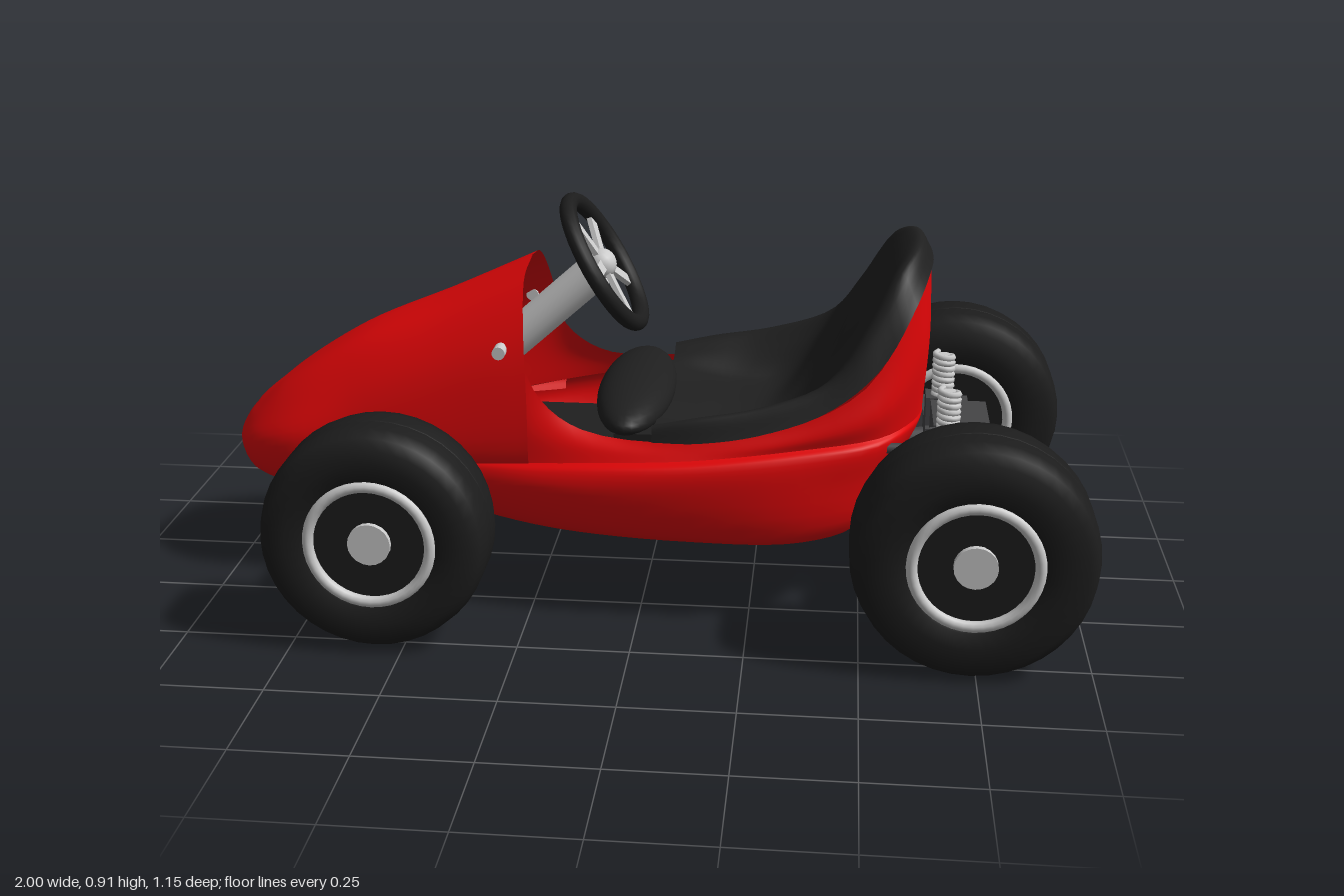
import * as THREE from 'three';
import { mergeVertices } from 'three/addons/utils/BufferGeometryUtils.js';

const V = (p) => new THREE.Vector3(...p);

function material(name, color, side = THREE.FrontSide) {
  const m = new THREE.MeshStandardMaterial({ color, side });
  m.name = name;
  return m;
}

// Surface through several half outlines, each mirrored across z = 0
function loft(lines, nu = 64, nv = 24) {
  const curves = lines.map((half) => {
    const mirror = half.slice(0, -1).reverse().map(([x, y, z]) => [x, y, -z]);
    return new THREE.CatmullRomCurve3([...half, ...mirror].map(V));
  });
  const pos = [], index = [];
  for (let i = 0; i <= nu; i++) {
    const across = new THREE.CatmullRomCurve3(curves.map((c) => c.getPoint(i / nu)));
    for (let j = 0; j <= nv; j++) pos.push(...across.getPoint(j / nv).toArray());
  }
  for (let i = 0; i < nu; i++) for (let j = 0; j < nv; j++) {
    const a = i * (nv + 1) + j, b = a + nv + 1;
    index.push(a, a + 1, b, b, a + 1, b + 1);
  }
  let g = new THREE.BufferGeometry();
  g.setAttribute('position', new THREE.Float32BufferAttribute(pos, 3));
  g.setIndex(index);
  g = mergeVertices(g, 1e-4);
  g.computeVertexNormals();
  return g;
}

export function createModel() {
  const kart = new THREE.Group();
  kart.name = 'pedalKart';
  const red = material('red paint', 0xe00507, THREE.DoubleSide);
  const black = material('black rubber', 0x1c1c1c);
  const seatBlack = material('black seat', 0x1f1f1f, THREE.DoubleSide);
  const grey = material('dark grey metal', 0x454547);
  const midGrey = material('mid grey metal', 0x646467);
  const silver = material('silver metal', 0xcbcbcb);

  function add(name, geo, mat, at = [0, 0, 0], parent = kart) {
    const m = new THREE.Mesh(geo, mat);
    m.name = name;
    m.position.set(...at);
    parent.add(m);
    return m;
  }
  const box = (name, size, at, mat = grey) => add(name, new THREE.BoxGeometry(...size), mat, at);
  function rod(name, a, b, r, mat = grey) {
    const d = V(b).sub(V(a));
    const m = add(name, new THREE.CylinderGeometry(r, r, d.length(), 16), mat);
    m.position.copy(V(a)).addScaledVector(d, 0.5);
    m.quaternion.setFromUnitVectors(new THREE.Vector3(0, 1, 0), d.normalize());
    return m;
  }

  // Nose cowl, from the lower edge up to the ridge
  add('noseCowl', loft([
    [[-0.25, 0.34, 0.285], [-0.43, 0.33, 0.24], [-0.63, 0.3, 0.19], [-0.76, 0.215, 0.13], [-0.8, 0.205, 0.07], [-0.82, 0.205, 0]],
    [[-0.25, 0.37, 0.3], [-0.43, 0.35, 0.255], [-0.65, 0.32, 0.205], [-0.83, 0.26, 0.175], [-0.94, 0.25, 0.11], [-0.97, 0.255, 0]],
    [[-0.255, 0.5, 0.28], [-0.45, 0.45, 0.24], [-0.66, 0.4, 0.21], [-0.85, 0.35, 0.19], [-0.96, 0.32, 0.12], [-1.0, 0.31, 0]],
    [[-0.268, 0.64, 0.225], [-0.46, 0.57, 0.2], [-0.68, 0.49, 0.175], [-0.86, 0.41, 0.15], [-0.945, 0.37, 0.1], [-0.98, 0.36, 0]],
    [[-0.28, 0.74, 0.13], [-0.47, 0.655, 0.12], [-0.69, 0.565, 0.105], [-0.86, 0.462, 0.09], [-0.93, 0.405, 0.06], [-0.96, 0.385, 0]],
    [[-0.28, 0.768, 0], [-0.475, 0.68, 0], [-0.69, 0.583, 0], [-0.86, 0.472, 0], [-0.93, 0.417, 0], [-0.955, 0.392, 0]],
  ]), red);

  // Tub: upper sides and back, then the belly with a small ledge at the crease
  const crease = [[-0.42, 0.33, 0.25], [-0.25, 0.35, 0.315], [-0.1, 0.368, 0.35], [0.12, 0.388, 0.37],
    [0.36, 0.415, 0.35], [0.53, 0.43, 0.295], [0.61, 0.43, 0.16], [0.63, 0.43, 0.08], [0.635, 0.43, 0]];
  const ledge = crease.map(([x, y, z]) => [x, y + 0.012, z * 0.94]);
  add('tubUpper', loft([
    [[-0.28, 0.6, 0.24], [-0.225, 0.5, 0.262], [-0.13, 0.442, 0.285], [0.1, 0.435, 0.328],
      [0.33, 0.475, 0.325], [0.5, 0.565, 0.295], [0.6, 0.73, 0.22], [0.632, 0.787, 0.11], [0.64, 0.79, 0]],
    [[-0.33, 0.47, 0.25], [-0.24, 0.43, 0.285], [-0.1, 0.41, 0.315], [0.12, 0.415, 0.34],
      [0.36, 0.447, 0.333], [0.53, 0.5, 0.293], [0.62, 0.6, 0.18], [0.64, 0.615, 0.09], [0.645, 0.62, 0]],
    ledge,
  ]), red);
  add('tubBelly', loft([
    ledge,
    crease,
    [[-0.43, 0.28, 0.25], [-0.25, 0.31, 0.325], [-0.1, 0.32, 0.36], [0.12, 0.335, 0.376],
      [0.36, 0.35, 0.355], [0.51, 0.35, 0.29], [0.58, 0.35, 0.15], [0.592, 0.35, 0.07], [0.595, 0.35, 0]],
    [[-0.42, 0.21, 0.2], [-0.25, 0.21, 0.28], [-0.1, 0.21, 0.32], [0.12, 0.21, 0.34],
      [0.34, 0.21, 0.33], [0.47, 0.22, 0.27], [0.53, 0.22, 0.14], [0.537, 0.22, 0.07], [0.54, 0.22, 0]],
    [[-0.4, 0.182, 0.1], [-0.25, 0.18, 0.18], [-0.1, 0.178, 0.22], [0.12, 0.176, 0.25],
      [0.32, 0.176, 0.23], [0.43, 0.178, 0.18], [0.48, 0.18, 0.09], [0.488, 0.18, 0.045], [0.49, 0.18, 0]],
    [[-0.4, 0.18, 0], [-0.25, 0.176, 0], [-0.1, 0.175, 0], [0.12, 0.175, 0],
      [0.28, 0.175, 0], [0.36, 0.175, 0], [0.4, 0.176, 0], [0.41, 0.176, 0], [0.42, 0.176, 0]],
  ]), red);
  box('frontBulkhead', [0.02, 0.14, 0.4], [-0.4, 0.26, 0], red);
  box('footwell', [0.42, 0.03, 0.5], [-0.13, 0.3, 0], seatBlack);

  // Bucket seat, from the centre out to the rolled rim
  add('seat', loft([
    [[0.03, 0.44, 0], [0.12, 0.42, 0], [0.2, 0.4, 0], [0.27, 0.4, 0], [0.33, 0.43, 0], [0.38, 0.48, 0], [0.41, 0.53, 0], [0.43, 0.57, 0]],
    [[0.03, 0.44, 0.2], [0.12, 0.42, 0.2], [0.22, 0.41, 0.19], [0.31, 0.42, 0.18], [0.38, 0.49, 0.16], [0.44, 0.58, 0.11], [0.47, 0.65, 0.06], [0.48, 0.67, 0]],
    [[0.03, 0.45, 0.27], [0.12, 0.46, 0.27], [0.25, 0.475, 0.262], [0.38, 0.52, 0.24], [0.46, 0.63, 0.21], [0.52, 0.74, 0.16], [0.56, 0.8, 0.08], [0.57, 0.81, 0]],
    [[0.03, 0.465, 0.308], [0.13, 0.487, 0.312], [0.275, 0.515, 0.305], [0.42, 0.572, 0.285], [0.505, 0.685, 0.25], [0.567, 0.797, 0.19], [0.605, 0.832, 0.1], [0.615, 0.838, 0]],
    [[0.03, 0.43, 0.32], [0.13, 0.436, 0.335], [0.27, 0.46, 0.334], [0.42, 0.515, 0.318], [0.53, 0.605, 0.285], [0.603, 0.73, 0.225], [0.637, 0.787, 0.11], [0.645, 0.79, 0]],
  ]), seatBlack);
  const cushion = add('frontCushion', new THREE.SphereGeometry(1, 32, 20), seatBlack, [-0.035, 0.445, 0]);
  cushion.scale.set(0.09, 0.055, 0.29);
  box('seatBase', [0.12, 0.12, 0.54], [0, 0.37, 0], seatBlack);

  // Steering column and wheel
  rod('steeringColumn', [-0.45, 0.45, 0], [-0.13, 0.735, 0], 0.044, silver);
  box('columnMount', [0.12, 0.22, 0.12], [-0.38, 0.42, 0]);
  const steering = new THREE.Group();
  steering.name = 'steeringWheel';
  steering.position.set(-0.11, 0.755, 0);
  steering.rotation.set(-0.535, Math.PI / 2, 0, 'YXZ');
  kart.add(steering);
  add('steeringRim', new THREE.TorusGeometry(0.16, 0.02, 12, 40), black, [0, 0, 0], steering);
  add('steeringHub', new THREE.SphereGeometry(0.036, 16, 12), silver, [0, 0, -0.01], steering);
  for (let i = 0; i < 5; i++) {
    const a = Math.PI / 2 + 0.3 + i * Math.PI * 0.4;
    const s = add('steeringSpoke', new THREE.BoxGeometry(0.15, 0.028, 0.012), silver,
      [0.08 * Math.cos(a), 0.08 * Math.sin(a), -0.005], steering);
    s.rotation.z = a;
  }

  // Wheels: tyre, disc, trim rings and hub cap
  function wheel(name, R, w, at) {
    const g = new THREE.Group();
    g.name = name;
    g.position.set(...at);
    g.rotation.x = Math.PI / 2;
    kart.add(g);
    const half = [[0.132, 0.8], [0.15, 0.94], [0.185, 1], [R - 0.03, 0.97], [R - 0.009, 0.8], [R, 0.45], [R, 0.03], [R - 0.005, 0.015]];
    const profile = [...half.map(([r, y]) => [r, -y]), ...half.reverse()];
    add('tyre', new THREE.LatheGeometry(profile.map(([r, y]) => new THREE.Vector2(r, y * w)), 40), black, [0, 0, 0], g);
    add('wheelDisc', new THREE.CylinderGeometry(0.134, 0.134, w * 1.6, 32), black, [0, 0, 0], g);
    add('hubCap', new THREE.CylinderGeometry(0.047, 0.047, w * 1.84, 20), silver, [0, 0, 0], g);
    for (const s of [-1, 1]) {
      const ring = add('trimRing', new THREE.TorusGeometry(0.134, 0.0125, 10, 40), silver, [0, s * w * 0.9, 0], g);
      ring.rotation.x = Math.PI / 2;
    }
  }

  for (const s of [1, -1]) {
    wheel('frontWheel', 0.251, 0.105, [-0.557, 0.263, s * 0.467]);
    wheel('rearWheel', 0.264, 0.115, [0.736, 0.268, s * 0.462]);

    // Front suspension
    rod('frontStub', [-0.557, 0.265, s * 0.26], [-0.557, 0.265, s * 0.42], 0.028, midGrey);
    rod('frontHubCarrier', [-0.555, 0.265, s * 0.29], [-0.555, 0.265, s * 0.36], 0.06, midGrey);
    rod('frontArm', [-0.5, 0.25, s * 0.08], [-0.55, 0.25, s * 0.32], 0.032, midGrey);
    rod('steeringArm', [-0.68, 0.27, s * 0.2], [-0.69, 0.27, s * 0.31], 0.016, midGrey);
    rod('steeringLink', [-0.69, 0.27, s * 0.3], [-0.56, 0.27, s * 0.31], 0.018, midGrey);
    rod('chassisRail', [-0.38, 0.24, s * 0.08], [-0.85, 0.25, s * 0.06], 0.018);

    // Rear axle housing and mounts
    box('axleHousing', [0.1, 0.08, 0.15], [0.7, 0.3, s * 0.15]);
    box('axleCarrier', [0.13, 0.095, 0.12], [0.7, 0.285, s * 0.295]);
    rod('rearStub', [0.736, 0.268, s * 0.3], [0.736, 0.268, s * 0.42], 0.035);
    rod('trailingArm', [0.5, 0.27, s * 0.17], [0.7, 0.28, s * 0.2], 0.025);
    for (const z of [0.07, 0.26, 0.33]) rod('axleBolt', [0.74, 0.265, s * z], [0.81, 0.265, s * z], 0.013);
    box('springSeat', [0.08, 0.08, 0.07], [0.69, 0.37, s * 0.135]);

    // Coil spring
    const coil = Array.from({ length: 61 }, (_, i) => new THREE.Vector3(
      0.69 + 0.021 * Math.cos(i * 0.8), 0.405 + i * 0.0018, s * 0.135 + 0.021 * Math.sin(i * 0.8)));
    add('spring', new THREE.TubeGeometry(new THREE.CatmullRomCurve3(coil), 160, 0.0075, 6), silver);
    rod('springCore', [0.69, 0.4, s * 0.135], [0.69, 0.512, s * 0.135], 0.014, silver);

    // Body bolts
    rod('cowlBolt', [-0.32, 0.605, s * 0.22], [-0.32, 0.605, s * 0.258], 0.015, silver);
    rod('backBolt', [0.55, 0.415, s * 0.262], [0.6, 0.415, s * 0.262], 0.012);
  }

  // Gearbox, tow mount and front crossmember
  box('gearbox', [0.13, 0.18, 0.18], [0.725, 0.32, 0]);
  rod('gearboxBoss', [0.78, 0.33, 0], [0.84, 0.33, 0], 0.03);
  box('towMount', [0.14, 0.05, 0.12], [0.6, 0.3, 0]);
  box('frontCrossmember', [0.07, 0.05, 0.3], [-0.57, 0.26, 0]);
  rod('tieRod', [-0.69, 0.27, -0.28], [-0.69, 0.27, 0.28], 0.012, midGrey);
  return kart;
}
